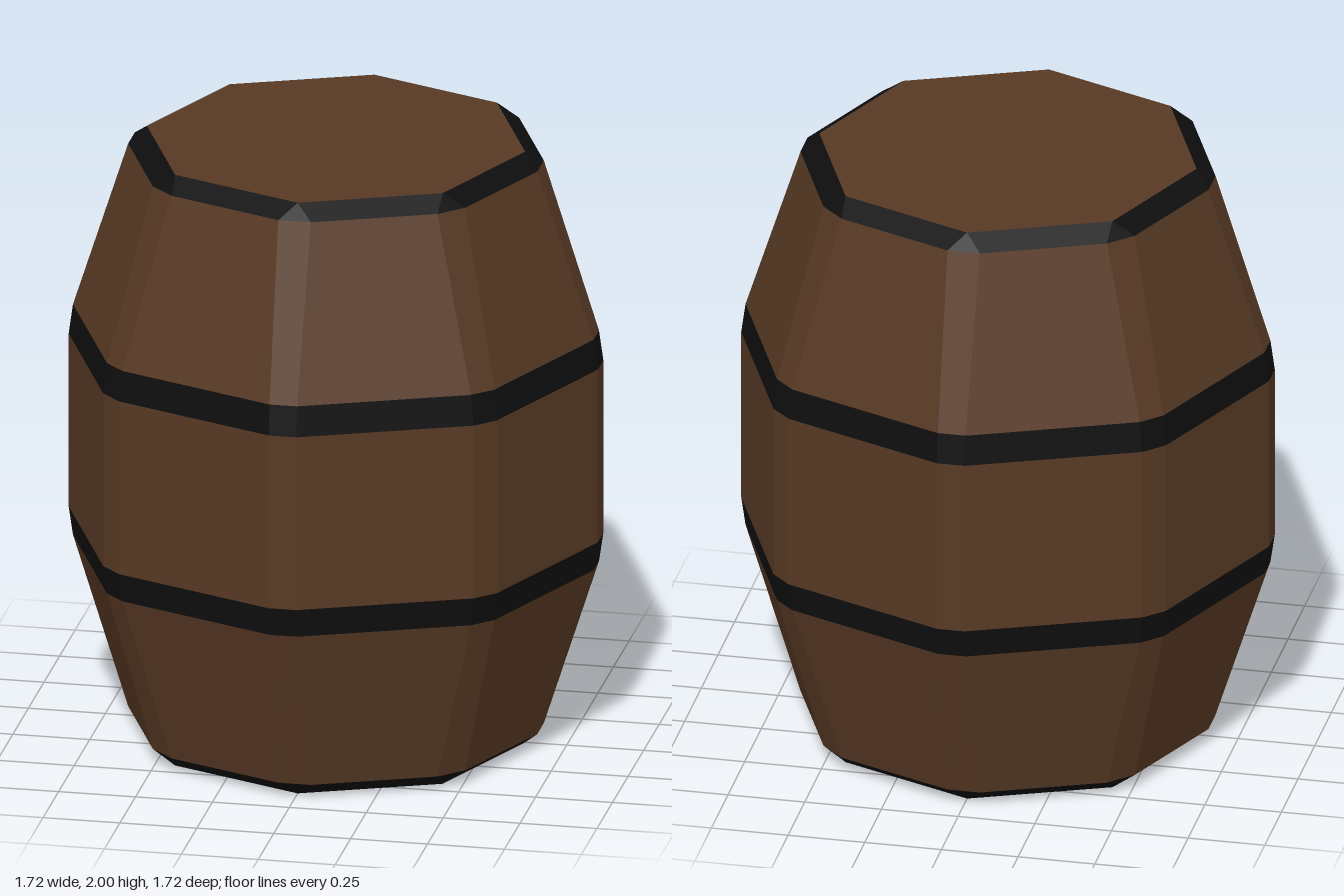
import * as THREE from 'three';

// Octagonal cross-section with bevelled corners: r = corner-face distance, h = half bevel width
function section({ y, r, h }) {
  const pts = [];
  for (let i = 0; i < 8; i++) {
    const a = (i * Math.PI) / 4;
    for (const s of [-h, h]) {
      pts.push(new THREE.Vector3(
        r * Math.sin(a) + s * Math.cos(a), y, r * Math.cos(a) - s * Math.sin(a)));
    }
  }
  return pts;
}

// Flat-faced wall between two cross-sections
function wall(lower, upper) {
  const lo = section(lower), up = section(upper), pos = [];
  const tri = (a, b, c) => {
    if (a.distanceTo(b) < 1e-5 || b.distanceTo(c) < 1e-5 || c.distanceTo(a) < 1e-5) return;
    for (const p of [a, b, c]) pos.push(p.x, p.y, p.z);
  };
  for (let i = 0; i < 16; i++) {
    const j = (i + 1) % 16;
    tri(lo[i], lo[j], up[j]);
    tri(lo[i], up[j], up[i]);
  }
  const g = new THREE.BufferGeometry();
  g.setAttribute('position', new THREE.Float32BufferAttribute(pos, 3));
  g.computeVertexNormals();
  return g;
}

export function createModel() {
  const wood = new THREE.MeshStandardMaterial({ name: 'brown wood', color: 0x573924 });
  const iron = new THREE.MeshStandardMaterial({ name: 'black iron', color: 0x0e0e0e });
  const barrel = new THREE.Group();
  barrel.name = 'barrel';
  const add = (name, geometry, material) => {
    const mesh = new THREE.Mesh(geometry, material);
    mesh.name = name;
    barrel.add(mesh);
    return mesh;
  };

  // Profile from the floor up; the end rings close to sharp octagons
  const rings = [
    { y: 0, r: 0.615, h: 0 },
    { y: 0.05, r: 0.665, h: 0.053 },
    { y: 0.615, r: 0.846, h: 0.045 },
    { y: 0.71, r: 0.86, h: 0.045 },
    { y: 1.295, r: 0.86, h: 0.045 },
    { y: 1.395, r: 0.846, h: 0.045 },
    { y: 1.955, r: 0.665, h: 0.053 },
    { y: 2, r: 0.615, h: 0 },
  ];
  const parts = ['bottomRim', 'lowerStaves', 'lowerHoop', 'middleStaves', 'upperHoop', 'upperStaves', 'topRim'];
  parts.forEach((name, i) =>
    add(name, wall(rings[i], rings[i + 1]), i % 2 ? wood : iron));

  // End lids
  const lid = new THREE.CircleGeometry(0.615, 8);
  const top = add('topLid', lid, wood);
  top.rotation.x = -Math.PI / 2;
  top.position.y = 2;
  add('bottomLid', lid, wood).rotation.x = Math.PI / 2;

  return barrel;
}
